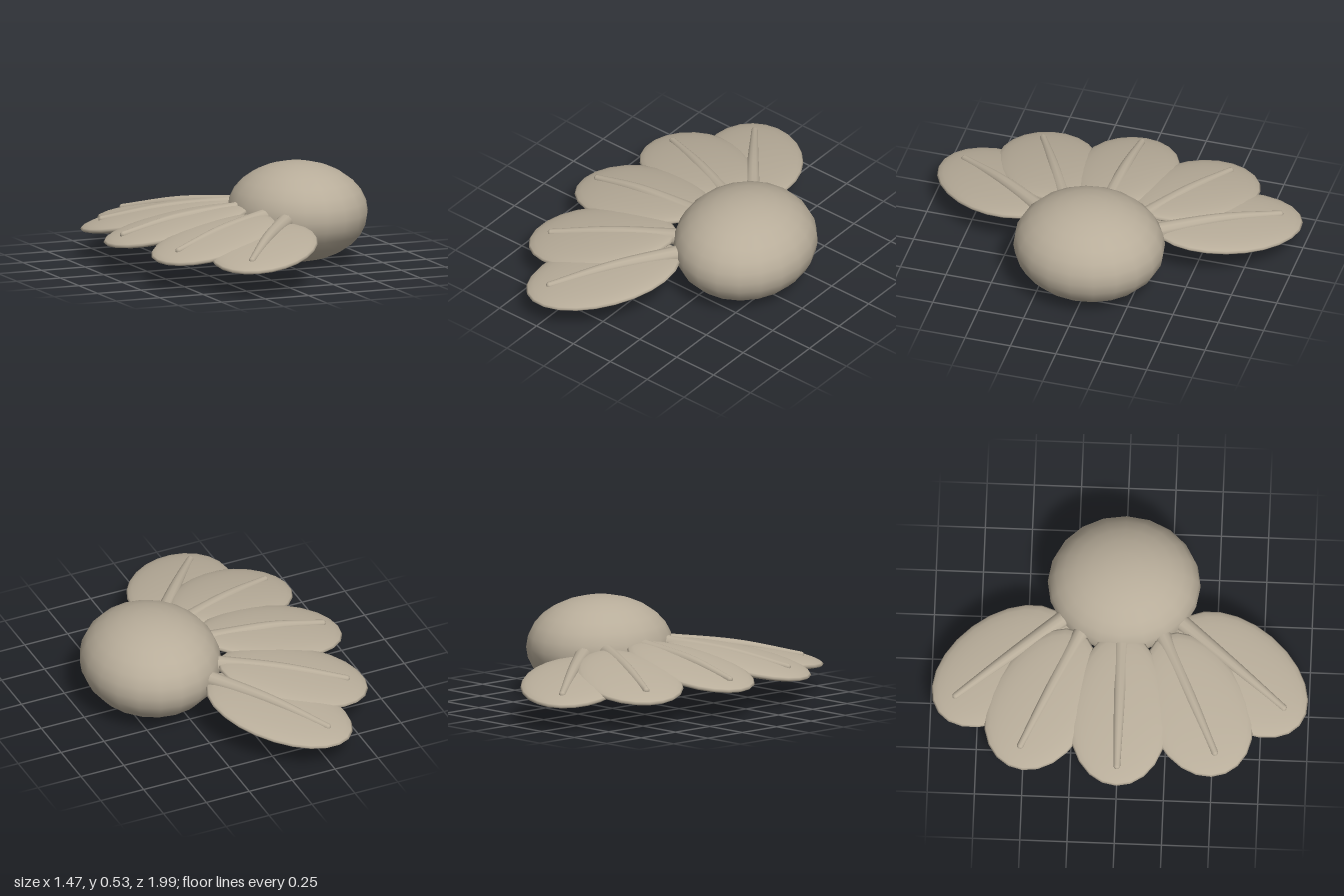
import * as THREE from 'three';
import { mergeVertices } from 'three/addons/utils/BufferGeometryUtils.js';

const clay = new THREE.MeshStandardMaterial({ color: 0xb8ad9a });
clay.name = 'warm grey clay';

function mesh(geometry, name) {
  const m = new THREE.Mesh(geometry, clay);
  m.name = name;
  return m;
}

// Flattened ellipsoid, slightly wider towards its outer end (+x)
function petalGeometry(length, width, thickness, egg) {
  let g = new THREE.SphereGeometry(1, 24, 14);
  g.deleteAttribute('uv');
  g.deleteAttribute('normal');
  g = mergeVertices(g, 1e-4);
  const p = g.attributes.position;
  for (let i = 0; i < p.count; i++) p.setZ(i, p.getZ(i) * (1 + egg * p.getX(i)));
  g.scale(length, thickness, width);
  g.computeVertexNormals();
  return g;
}

// Petal lying along a sloping direction
function petal(center, angle, slope, length, width, egg, side) {
  const m = mesh(petalGeometry(length, width, 0.045, egg), 'petal');
  const x = new THREE.Vector3(-Math.cos(angle), -slope, Math.sin(angle) * side).normalize();
  const z = new THREE.Vector3().crossVectors(x, new THREE.Vector3(0, 1, 0)).normalize();
  const y = new THREE.Vector3().crossVectors(z, x);
  m.quaternion.setFromRotationMatrix(new THREE.Matrix4().makeBasis(x, y, z));
  m.position.set(center[0], center[1], center[2] * side);
  return m;
}

// Tapered, gently arched rib with rounded ends
function rib(points, side) {
  const r0 = 0.045, r1 = 0.018, rows = 16, sides = 12;
  const curve = new THREE.CatmullRomCurve3(points.map(([x, y, z]) => new THREE.Vector3(x, y, z * side)));
  const g = new THREE.TubeGeometry(curve, rows, 1, sides);
  const p = g.attributes.position, v = new THREE.Vector3();
  for (let i = 0; i < p.count; i++) {
    const t = Math.floor(i / (sides + 1)) / rows;
    const c = curve.getPointAt(t);
    v.fromBufferAttribute(p, i).sub(c).multiplyScalar(r0 + (r1 - r0) * t).add(c);
    p.setXYZ(i, v.x, v.y, v.z);
  }
  const group = new THREE.Group();
  group.name = 'rib';
  group.add(mesh(g, 'ribShaft'));
  [[0, r0], [1, r1]].forEach(([t, r]) => {
    const cap = mesh(new THREE.SphereGeometry(r, 12, 8), 'ribEnd');
    cap.position.copy(curve.getPointAt(t));
    group.add(cap);
  });
  return group;
}

export function createModel() {
  const model = new THREE.Group();
  model.name = 'fanTailedBody';

  // Rounded body
  const body = mesh(new THREE.SphereGeometry(1, 20, 14), 'body');
  body.scale.set(0.37, 0.265, 0.405);
  body.position.set(0.365, 0.27, 0);
  model.add(body);

  // Fan of petals, each with a rib on top; the outer two pairs are mirrored
  const fan = [
    { sides: [1], center: [-0.325, 0.24, 0], angle: 0, slope: 0.19, length: 0.415, width: 0.262, egg: 0.12,
      rib: [[0.04, 0.3, 0], [-0.35, 0.272, 0], [-0.638, 0.212, 0]] },
    { sides: [1, -1], center: [-0.28, 0.225, 0.402], angle: 0.45, slope: 0.19, length: 0.405, width: 0.27, egg: 0.1,
      rib: [[0.09, 0.29, 0.21], [-0.24, 0.262, 0.37], [-0.54, 0.203, 0.515]] },
    { sides: [1, -1], center: [-0.097, 0.203, 0.627], angle: 0.915, slope: 0.145, length: 0.42, width: 0.275, egg: 0,
      rib: [[0.17, 0.275, 0.3], [-0.06, 0.25, 0.595], [-0.268, 0.19, 0.868]] },
  ];
  for (const f of fan) {
    for (const side of f.sides) {
      model.add(petal(f.center, f.angle, f.slope, f.length, f.width, f.egg, side));
      model.add(rib(f.rib, side));
    }
  }
  return model;
}
